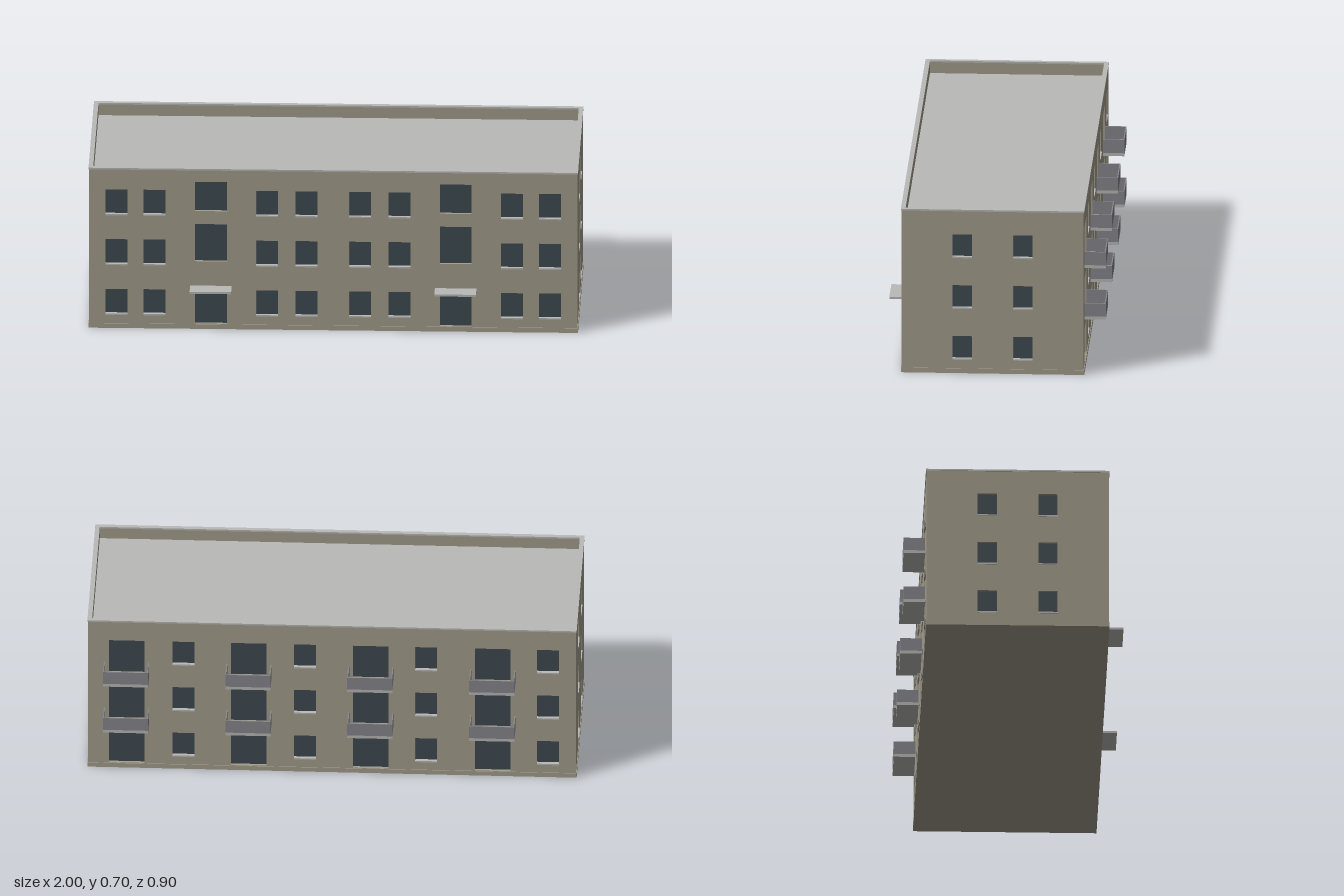
import * as THREE from 'three';

const paint = (name, color) => {
  const m = new THREE.MeshStandardMaterial({ color });
  m.name = name;
  return m;
};

export function createModel() {
  const wallMat = paint('beige render', 0xa39d8c);
  const glassMat = paint('dark glass', 0x3e4a51);
  const concreteMat = paint('light concrete', 0xb9b9b7);
  const railMat = paint('grey railing', 0x85858c);

  const W = 1.994, FRONT = 0.381, BACK = -0.363, CZ = 0.009;
  const D = FRONT - BACK, T = 0.016, TOP = 0.694, LIP = 0.003;
  const model = new THREE.Group();
  model.name = 'apartmentBlock';

  function box(parent, name, mat, w, h, d, x, y, z) {
    const m = new THREE.Mesh(new THREE.BoxGeometry(w, h, d), mat);
    m.name = name;
    m.position.set(x, y, z);
    parent.add(m);
    return m;
  }

  const rect = (P, x0, y0, x1, y1) => {
    const p = new P();
    p.moveTo(x0, y0);
    p.lineTo(x1, y0);
    p.lineTo(x1, y1);
    p.lineTo(x0, y1);
    p.closePath();
    return p;
  };

  // Wall facing local +z with recessed openings: { x, w, y0, y1, sill }
  function facade(name, width, openings) {
    const g = new THREE.Group();
    g.name = name;
    const shape = rect(THREE.Shape, -width / 2, 0.01, width / 2, TOP);
    for (const o of openings) {
      shape.holes.push(rect(THREE.Path, o.x - o.w / 2, o.y0, o.x + o.w / 2, o.y1));
      box(g, 'glass', glassMat, o.w, o.y1 - o.y0, 0.004, o.x, (o.y0 + o.y1) / 2, -0.014);
      if (o.sill) box(g, 'windowSill', concreteMat, o.w, 0.006, 0.015, o.x, o.y0 - 0.002, LIP - 0.0075);
    }
    const geo = new THREE.ExtrudeGeometry(shape, { depth: T, bevelEnabled: false });
    geo.translate(0, 0, -T);
    const wall = new THREE.Mesh(geo, wallMat);
    wall.name = 'wall';
    g.add(wall);
    model.add(g);
    return g;
  }

  const floors = [0.062, 0.28, 0.498];
  const windowsAt = (xs, w, h) => xs.flatMap(x =>
    floors.map(y => ({ x, w, y0: y, y1: y + h, sill: true })));

  // Front: paired windows, two stairwells with entrances
  const front = windowsAt([-0.885, -0.73, -0.27, -0.11, 0.11, 0.27, 0.73, 0.885], 0.09, 0.108);
  for (const x of [-0.5, 0.5]) {
    for (const [y0, y1] of [[0.022, 0.178], [0.295, 0.458], [0.515, 0.643]]) {
      front.push({ x, w: 0.13, y0, y1 });
    }
    box(model, 'entranceCanopy', concreteMat, 0.17, 0.009, 0.075, x, 0.184, 0.4145);
  }
  facade('frontFacade', W, front).position.z = FRONT;

  // Back: balcony doors and single windows, mirrored into local x
  const balconyXs = [-0.657, -0.158, 0.34, 0.84];
  const back = windowsAt([0.883, 0.385, -0.11, -0.608], 0.09, 0.108);
  for (const x of balconyXs) {
    for (const [y0, y1] of [[0.022, 0.17], [0.231, 0.388], [0.451, 0.606]]) {
      back.push({ x: -x, w: 0.145, y0, y1 });
    }
  }
  const backWall = facade('backFacade', W, back);
  backWall.position.z = BACK;
  backWall.rotation.y = Math.PI;

  // Side walls
  for (const s of [-1, 1]) {
    const side = facade(s > 0 ? 'leftFacade' : 'rightFacade', D - 2 * T,
      windowsAt([-0.124, 0.124], 0.079, 0.096));
    side.position.set(s * W / 2, 0, CZ);
    side.rotation.y = s * Math.PI / 2;
  }

  // Balconies: slab with a parapet on three sides
  const bw = 0.185, bd = 0.088, t = 0.005;
  for (const x of balconyXs) {
    for (const y of [0.217, 0.437]) {
      const b = new THREE.Group();
      b.name = 'balcony';
      b.position.set(x, y, BACK);
      box(b, 'balconySlab', concreteMat, bw, 0.013, bd, 0, 0.0065, -bd / 2);
      box(b, 'balconyFrontRail', railMat, bw, 0.056, t, 0, 0.041, -bd + t / 2);
      for (const s of [-1, 1]) {
        box(b, 'balconySideRail', railMat, t, 0.056, bd - t, s * (bw - t) / 2, 0.041, -(bd - t) / 2);
      }
      model.add(b);
    }
  }

  // Plinth, roof deck and parapet coping
  box(model, 'plinth', wallMat, W + 2 * LIP, 0.02, D + 2 * LIP, 0, 0.01, CZ);
  box(model, 'roofDeck', concreteMat, W - 2 * T, 0.01, D - 2 * T, 0, 0.642, CZ);
  const hw = W / 2, hd = D / 2;
  const ring = rect(THREE.Shape, -hw - LIP, -hd - LIP, hw + LIP, hd + LIP);
  ring.holes.push(rect(THREE.Path, -hw + T, -hd + T, hw - T, hd - T));
  const coping = new THREE.Mesh(
    new THREE.ExtrudeGeometry(ring, { depth: 0.007, bevelEnabled: false }), concreteMat);
  coping.name = 'parapetCoping';
  coping.rotation.x = -Math.PI / 2;
  coping.position.set(0, TOP, CZ);
  model.add(coping);

  return model;
}
